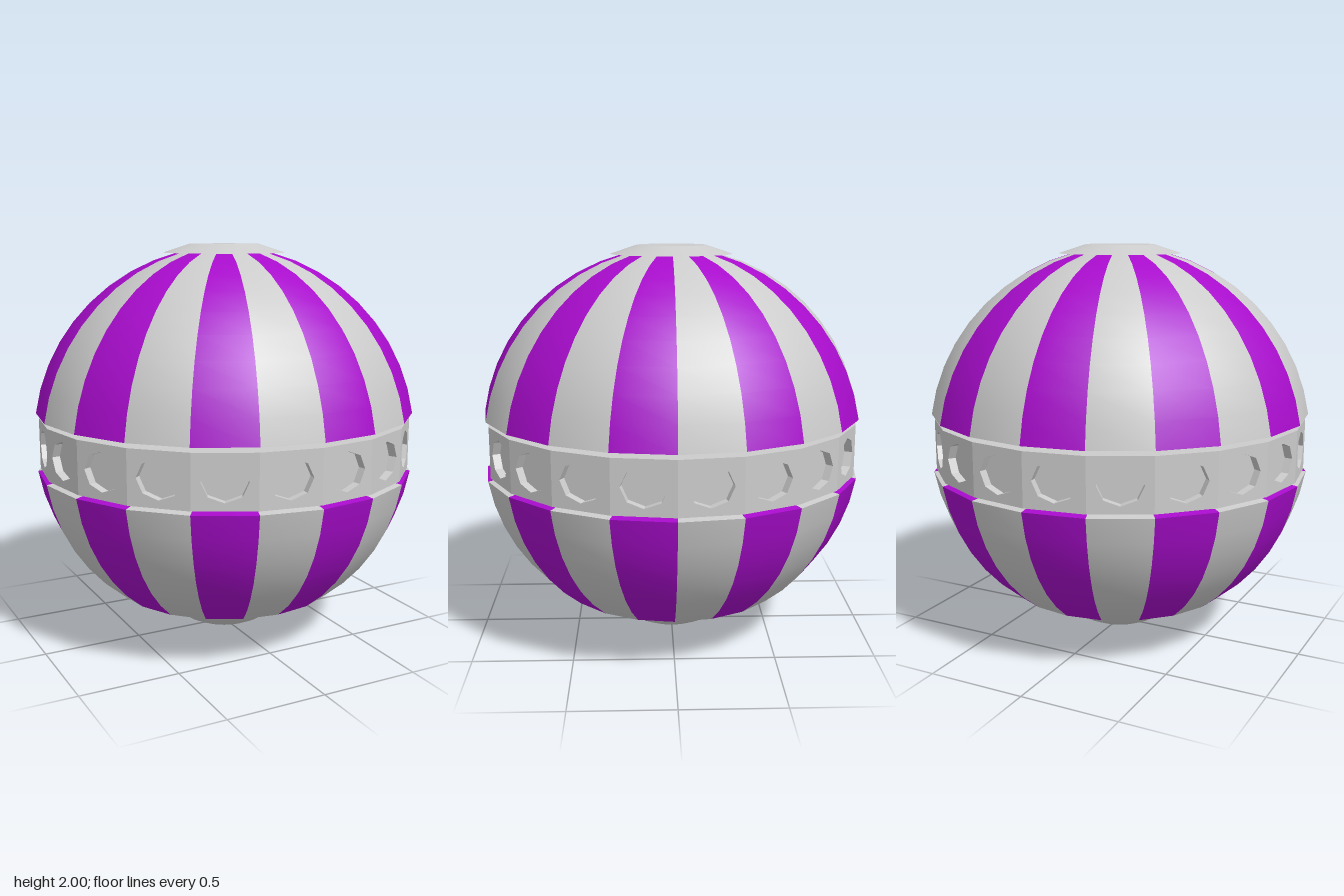
import * as THREE from 'three';

const SIDES = 20;
const STEP = (Math.PI * 2) / SIDES;
const CENTER_Y = 1.015;
const OUTER = 0.972;
const INNER = 0.85;

const grey = new THREE.MeshStandardMaterial({ color: 0xcccccc });
const purple = new THREE.MeshStandardMaterial({ color: 0xa80ccc });

// Point on a sphere profile at a given latitude in degrees
function onSphere(radius, lat) {
  const a = THREE.MathUtils.degToRad(lat);
  return new THREE.Vector2(radius * Math.cos(a), CENTER_Y + radius * Math.sin(a));
}

function arc(radius, from, to, n) {
  return Array.from({ length: n + 1 }, (_, i) => onSphere(radius, from + ((to - from) * i) / n));
}

// Each strip is its own lathe, so the edges between strips stay sharp
function turned(name, strips, material, segments, start = 0, length = Math.PI * 2) {
  const group = new THREE.Group();
  group.name = name;
  for (const points of strips) {
    const mesh = new THREE.Mesh(new THREE.LatheGeometry(points, segments, start, length), material);
    mesh.name = name + 'Surface';
    group.add(mesh);
  }
  return group;
}

// Thick striped shell between two latitudes
function stripedShell(name, low, high, rows) {
  const shell = new THREE.Group();
  shell.name = name;
  const strips = [
    arc(OUTER, low, high, rows),
    [onSphere(OUTER, high), onSphere(INNER, high)],
    arc(INNER, high, low, rows),
    [onSphere(INNER, low), onSphere(OUTER, low)],
  ];
  for (let i = 0; i < SIDES; i++) {
    shell.add(turned('stripe', strips, i % 2 ? grey : purple, 1, i * STEP, STEP));
  }
  return shell;
}

// Octagonal port outline
function octagon(Path) {
  const pts = [];
  for (let i = 0; i < 8; i++) {
    const a = (i * Math.PI) / 4;
    pts.push(new THREE.Vector2(0.106 * Math.cos(a), 0.094 * Math.sin(a)));
  }
  return new Path(pts);
}

// Equatorial band: flat panels, each with a recessed port
function portBand() {
  const band = new THREE.Group();
  band.name = 'portBand';
  const radius = 0.947, halfHeight = 0.13, thickness = 0.1, recess = 0.04;
  const halfWidth = radius * Math.sin(STEP / 2);
  const face = radius * Math.cos(STEP / 2);

  const outline = new THREE.Shape([
    new THREE.Vector2(-halfWidth, -halfHeight),
    new THREE.Vector2(halfWidth, -halfHeight),
    new THREE.Vector2(halfWidth, halfHeight),
    new THREE.Vector2(-halfWidth, halfHeight),
  ]);
  outline.holes.push(octagon(THREE.Path));
  const panelGeometry = new THREE.ExtrudeGeometry(outline, { depth: thickness, bevelEnabled: false });
  panelGeometry.translate(0, 0, face - thickness);
  const floorGeometry = new THREE.ShapeGeometry(octagon(THREE.Shape));
  floorGeometry.translate(0, 0, face - recess);

  for (let i = 0; i < SIDES; i++) {
    const segment = new THREE.Group();
    segment.name = 'bandSegment';
    const panel = new THREE.Mesh(panelGeometry, grey);
    panel.name = 'bandPanel';
    const floor = new THREE.Mesh(floorGeometry, grey);
    floor.name = 'portFloor';
    segment.add(panel, floor);
    segment.rotation.y = (i + 0.5) * STEP;
    band.add(segment);
  }
  band.position.y = 1.01;
  return band;
}

export function createModel() {
  const model = new THREE.Group();
  model.name = 'stripedSphere';

  model.add(stripedShell('upperShell', 8.87, 75.7, 9));
  model.add(stripedShell('lowerShell', -53.6, -8.87, 6));
  model.add(portBand());

  // Top cap: flat disc with a sloping rim
  const p = (x, y) => new THREE.Vector2(x, y);
  model.add(turned('topCap', [
    [p(0, 1.957), p(0.305, 1.957)],
    [p(0.305, 1.957), p(0.175, 2)],
    [p(0.175, 2), p(0, 2)],
  ], grey, 40));

  // Ball showing through the lower opening
  const ball = new THREE.Mesh(new THREE.SphereGeometry(0.45, 40, 24), grey);
  ball.name = 'bottomBall';
  ball.position.y = 0.45;
  model.add(ball);

  return model;
}
